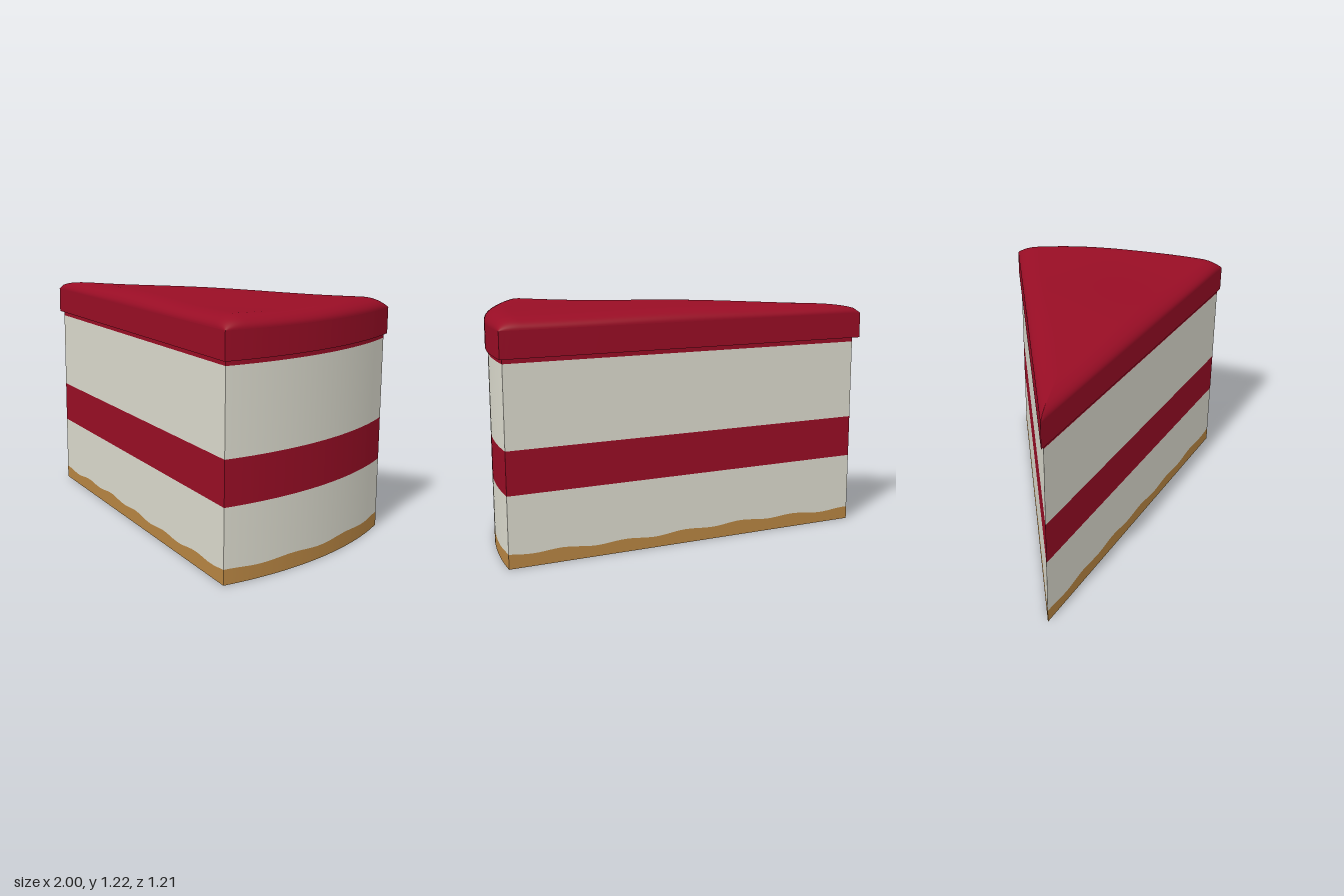
import * as THREE from 'three';

const mat = (name, color) => Object.assign(new THREE.MeshStandardMaterial({ color }), { name });
const HALF_ANGLE = 0.308;

// Grid of points (u, v in 0..1) turned into a smooth surface
function surface(nu, nv, at) {
  const pos = [], idx = [];
  for (let i = 0; i <= nu; i++) for (let j = 0; j <= nv; j++) pos.push(...at(i / nu, j / nv));
  for (let i = 0; i < nu; i++) for (let j = 0; j < nv; j++) {
    const a = i * (nv + 1) + j, b = a + nv + 1;
    idx.push(a, b, b + 1, a, b + 1, a + 1);
  }
  const g = new THREE.BufferGeometry();
  g.setAttribute('position', new THREE.Float32BufferAttribute(pos, 3));
  g.setIndex(idx);
  g.computeVertexNormals();
  return g;
}

// The three edges of a wedge: front cut, outer arc, back cut
function wedgeEdges(tip, radius) {
  const at = (r, t) => [tip + r * Math.cos(t), r * Math.sin(t)];
  return {
    FrontCut: u => at(radius * u, HALF_ANGLE),
    OuterArc: u => at(radius, HALF_ANGLE * (1 - 2 * u)),
    BackCut: u => at(radius * (1 - u), -HALF_ANGLE),
  };
}

export function createModel() {
  const model = new THREE.Group();
  const red = mat('red icing', 0x990d25);
  const cream = mat('cream sponge', 0xdddccf);
  const tan = mat('golden crust', 0xb98643);

  const add = (name, geometry, material, parent = model) => {
    const m = new THREE.Mesh(geometry, material);
    m.name = name;
    parent.add(m);
  };

  // Band of wall around the wedge between two heights (functions of x, z)
  const addBand = (name, tip, radius, low, high, material) => {
    const group = new THREE.Group();
    group.name = name;
    for (const [part, edge] of Object.entries(wedgeEdges(tip, radius))) {
      add(name + part, surface(64, 1, (u, v) => {
        const [x, z] = edge(u);
        return [x, (v ? high : low)(x, z), z];
      }), material, group);
    }
    model.add(group);
  };

  // Flat underside of a wedge
  const addUnderside = (name, tip, radius, y, material) =>
    add(name, surface(1, 32, (u, v) => {
      const t = HALF_ANGLE * (2 * v - 1);
      return [tip + radius * u * Math.cos(t), y, radius * u * Math.sin(t)];
    }), material);

  const flat = y => () => y;
  const crustTop = (x, z) => 0.067 + 0.006 * Math.cos(20 * x) + 0.005 * Math.cos(15.7 * (z - 0.2));

  // Cake layers, bottom to top
  const bodyTip = -0.96, bodyR = 1.947;
  addUnderside('crustUnderside', bodyTip, bodyR, 0, tan);
  addBand('crust', bodyTip, bodyR, flat(0), crustTop, tan);
  addBand('lowerSponge', bodyTip, bodyR, crustTop, flat(0.365), cream);
  addBand('filling', bodyTip, bodyR, flat(0.365), flat(0.585), red);
  addBand('upperSponge', bodyTip, bodyR, flat(0.585), flat(1.0), cream);
  addBand('icingSeam', bodyTip, bodyR, flat(1.0), flat(1.025), red);

  // Overhanging icing slab
  const iceTip = -1, iceR = 2;
  addUnderside('icingUnderside', iceTip, iceR, 1.022, red);
  addBand('icingRim', iceTip, iceR, flat(1.022), flat(1.155), red);

  // Icing top: rounded edges and a gently uneven surface
  const round = d => Math.sqrt(1 - (1 - Math.min(Math.max(d, 0) / 0.11, 1)) ** 2);
  add('icingTop', surface(80, 60, (u, v) => {
    const r = iceR * Math.sin(u * Math.PI / 2);
    const t = HALF_ANGLE * Math.cos(v * Math.PI);
    const x = iceTip + r * Math.cos(t), z = r * Math.sin(t);
    const edge = round(r * Math.sin(HALF_ANGLE - Math.abs(t))) * round(iceR - r);
    const wobble = 0.004 * Math.sin(5 * x + 1.5) + 0.003 * Math.cos(7 * z + 2 * x);
    return [x, 1.155 + edge * (0.06 + wobble), z];
  }), red);

  return model;
}
